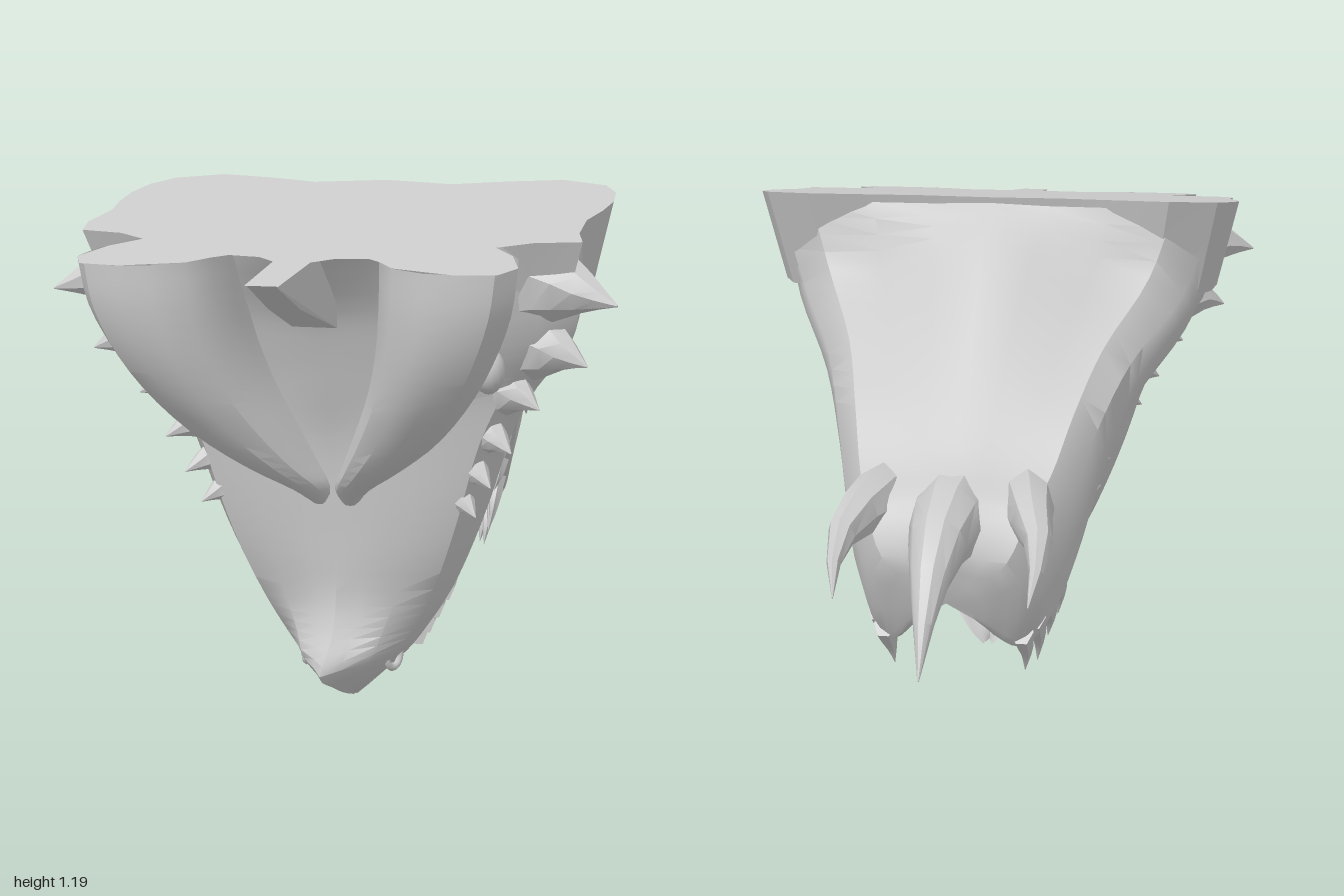
import * as THREE from 'three';
import { toCreasedNormals } from 'three/addons/utils/BufferGeometryUtils.js';
import { ConvexGeometry } from 'three/addons/geometries/ConvexGeometry.js';

const V = (x, y, z) => new THREE.Vector3(x, y, z);
const mat = new THREE.MeshStandardMaterial({ color: 0xcccccc, side: THREE.DoubleSide });
const capY = z => 1.181 - 0.131 * z; // sloping cut plane through the neck
const lean = z => (z < 0.5 ? -0.02 : 0); // the neck sits slightly off centre

export function createModel() {
  const group = new THREE.Group();
  const jaw = new THREE.Group(); // lower jaw, hanging slightly to one side
  jaw.name = 'lowerJawGroup';
  jaw.position.x = -0.025;
  group.add(jaw);
  const add = (name, geo, parent = group) => {
    const m = new THREE.Mesh(geo, mat);
    m.name = name;
    parent.add(m);
    return m;
  };

  // Skin through closed rings of equal point count, smoothed along its length
  function loft(rows, steps, capStart = true, capEnd = true) {
    const n = rows[0].length;
    const cols = rows[0].map((_, i) => new THREE.CatmullRomCurve3(rows.map(r => r[i]), false, 'centripetal'));
    const pts = [], idx = [];
    for (let s = 0; s <= steps; s++) for (const c of cols) pts.push(c.getPoint(s / steps));
    for (let s = 0; s < steps; s++) for (let i = 0; i < n; i++) {
      const a = s * n + i, b = s * n + (i + 1) % n;
      idx.push(a, b, a + n, b, b + n, a + n);
    }
    const cap = (s, flip) => {
      const mid = V(0, 0, 0);
      for (let i = 0; i < n; i++) mid.addScaledVector(pts[s * n + i], 1 / n);
      const c = pts.push(mid) - 1;
      for (let i = 0; i < n; i++) {
        const a = s * n + i, b = s * n + (i + 1) % n;
        flip ? idx.push(c, b, a) : idx.push(c, a, b);
      }
    };
    if (capStart) cap(0, true);
    if (capEnd) cap(steps, false);
    // turn the faces outward
    const mid = V(0, 0, 0);
    pts.forEach(p => mid.addScaledVector(p, 1 / pts.length));
    let vol = 0;
    for (let i = 0; i < idx.length; i += 3) {
      const [a, b, c] = [0, 1, 2].map(k => pts[idx[i + k]].clone().sub(mid));
      vol += a.dot(b.cross(c));
    }
    if (vol < 0) idx.reverse();
    const g = new THREE.BufferGeometry().setFromPoints(pts);
    g.setIndex(idx);
    return toCreasedNormals(g, 0.6);
  }

  // Full ring from its +x half, whose first and last points lie on x = 0
  const mirror = half => [...half, ...half.slice(1, -1).reverse().map(p => V(-p.x, p.y, p.z))];

  // Curved tapering spike
  function spike(name, path, r, flat = 1, sides = 7, parent = group) {
    const curve = new THREE.CatmullRomCurve3(path);
    const rows = [];
    for (let s = 0; s <= 5; s++) {
      const t = s / 5, p = curve.getPoint(t), d = curve.getTangent(t);
      const u = V(1, 0, 0).addScaledVector(d, -d.x);
      if (u.lengthSq() < 0.05) u.set(0, 1, 0).addScaledVector(d, -d.y);
      u.normalize();
      const v = d.clone().cross(u), k = r * Math.max(0.02, 1 - t ** 1.2);
      rows.push(Array.from({ length: sides }, (_, i) => {
        const a = i / sides * Math.PI * 2;
        return p.clone().addScaledVector(u, Math.cos(a) * k * flat).addScaledVector(v, Math.sin(a) * k);
      }));
    }
    add(name, loft(rows, 5), parent);
  }

  // Neck cut: scalloped flat surface
  const outline = [[0.035, 1], [0.04, 0.8], [0.08, 0.765], [0.15, 0.755], [0.18, 0.78], [0.22, 0.83], [0.35, 0.87],
    [0.44, 0.86], [0.47, 0.8], [0.44, 0.7], [0.39, 0.63], [0.46, 0.58], [0.56, 0.56], [0.56, 0.48], [0.555, 0.35],
    [0.575, 0.25], [0.585, 0.15], [0.575, 0.05], [0.54, -0.03], [0.43, -0.085], [0.3, -0.055], [0.17, -0.01], [0, -0.05]];
  const shape = new THREE.Shape([...outline, ...outline.slice(0, -1).reverse().map(([x, z]) => [-x, z])]
    .map(([x, z]) => new THREE.Vector2(x + lean(z), -z)));
  const capGeo = new THREE.ShapeGeometry(shape).rotateX(-Math.PI / 2);
  const cp = capGeo.attributes.position;
  for (let i = 0; i < cp.count; i++) cp.setY(i, capY(cp.getZ(i)));
  capGeo.computeVertexNormals();
  add('neckCut', capGeo);

  // Neck wall below the cut, drawn in toward the jaw hinge
  const neckHalf = [[0, 0.6], [0.39, 0.6], ...outline.slice(11)];
  add('neck', loft([0, 0.5, 1].map(t => mirror(neckHalf.map(([x, z]) => V(x, capY(z), z))).map(p =>
    V((p.x + lean(p.z)) * (1 - 0.08 * t), p.y * (1 - t) + 0.95 * t, p.z + (0.3 - p.z) * 0.2 * t))), 4, false, true));

  // Upper jaw: y, half width, ridge z, cheek z, rim z, palate z
  const upper = [
    [1.1, 0.53, 0.75, 0.54, 0.2, 0.4], [0.95, 0.535, 0.63, 0.52, 0.235, 0.4], [0.86, 0.51, 0.59, 0.5, 0.23, 0.39],
    [0.77, 0.44, 0.56, 0.48, 0.22, 0.38], [0.65, 0.375, 0.52, 0.475, 0.205, 0.37], [0.5, 0.325, 0.5, 0.46, 0.19, 0.36],
    [0.38, 0.28, 0.49, 0.44, 0.19, 0.34], [0.26, 0.225, 0.49, 0.41, 0.195, 0.31], [0.19, 0.18, 0.53, 0.4, 0.19, 0.28],
    [0.135, 0.14, 0.62, 0.39, 0.165, 0.25], [0.08, 0.09, 0.52, 0.37, 0.12, 0.2], [0.035, 0.045, 0.42, 0.33, 0.085, 0.12],
    [0.006, 0.012, 0.34, 0.3, 0.08, 0.1]];
  add('upperJaw', loft(upper.map(([y, w, f, c, r, p], j) => mirror([
    [0, f], [0.22, f * 0.75 + c * 0.25], [0.55, f * 0.35 + c * 0.65 + 0.02], [0.87, c], [1, c * 0.7 + r * 0.3],
    [0.98, c * 0.35 + r * 0.65], [0.92, r], [0.78, r + 0.01], [0.66, r * 0.5 + p * 0.5], [0.4, p], [0, p + 0.02],
  ].map(([x, z]) => V(x * w, j ? y : capY(z) - 0.006, z)))), 36));

  // Lower jaw: throat z, y; rim z, y; half width; drop of the shoulder beside the throat
  const lower = [
    [-0.055, 1.175, 0.3, 0.97, 0.545, 0.04], [-0.16, 1.08, 0.1, 0.84, 0.48, 0.28], [-0.31, 0.93, -0.12, 0.71, 0.37, 0.22],
    [-0.45, 0.79, -0.26, 0.57, 0.31, 0.1], [-0.57, 0.68, -0.38, 0.41, 0.265, 0.08], [-0.66, 0.63, -0.48, 0.31, 0.225, 0.08],
    [-0.71, 0.53, -0.57, 0.265, 0.17, 0.1], [-0.69, 0.44, -0.65, 0.35, 0.08, 0.1]];
  add('lowerJaw', loft(lower.map(([z0, y0, z1, y1, w, d]) => mirror([[0, 0], [0.25, 0.03], [0.52, d * 0.85], [0.8, d],
    [0.96, d + 0.2], [1, 0.65], [0.96, 0.95], [0.88, 1], [0.76, 0.95], [0.62, 0.6], [0, 0.48],
  ].map(([x, t]) => V(x * w, y0 + (y1 - y0) * t, z0 + (z1 - z0) * t)))), 28), jaw);

  // Tongue lying on the lower jaw
  const tongue = add('tongue', new THREE.SphereGeometry(1, 20, 14), jaw);
  tongue.scale.set(0.17, 0.15, 0.32);
  tongue.position.set(0, 0.59, -0.22);
  tongue.rotation.x = -0.86;

  // Central crest prong
  const prong = [];
  for (const s of [-1, 1]) prong.push(V(s * 0.03, capY(1), 1), V(s * 0.04, capY(0.6) - 0.004, 0.6), V(s * 0.05, 0.92, 0.64), V(s * 0.035, 0.985, 0.85));
  add('crestProng', new ConvexGeometry(prong));

  // Chin centre spike
  spike('chinSpike', [V(0, 0.56, -0.56), V(0, 0.57, -0.74), V(0, 0.5, -0.89), V(0, 0.35, -1)], 0.11, 0.85, 10, jaw);

  // Rim positions along each jaw, for seating the teeth
  const along = (rows, t) => {
    const f = t * (rows.length - 1), i = Math.min(rows.length - 2, Math.floor(f));
    return rows[i].map((v, k) => v + (rows[i + 1][k] - v) * (f - i));
  };

  for (const s of [1, -1]) {
    // Brow lobe: y, inner x, outer x, front z, back z
    const lobe = [[1.1, 0.17, 0.47, 0.87, 0.6], [0.98, 0.165, 0.455, 0.865, 0.57], [0.88, 0.15, 0.415, 0.84, 0.52],
      [0.78, 0.12, 0.355, 0.79, 0.48], [0.68, 0.075, 0.27, 0.715, 0.46], [0.6, 0.035, 0.17, 0.64, 0.44],
      [0.54, 0.005, 0.085, 0.56, 0.43], [0.5, 0.015, 0.05, 0.5, 0.43]];
    add('browLobe', loft(lobe.map(([y, a, b, f, k], j) => [
      [0, 0], [0, 0.35], [0.03, 0.66], [0.17, 0.86], [0.4, 0.98], [0.65, 1], [0.88, 0.93], [1, 0.74], [0.95, 0.45],
      [0.8, 0.15], [0.75, 0],
    ].map(([u, v]) => {
      const z = k + (f - k) * v;
      return V(s * (a + (b - a) * u), j ? y : capY(z), z);
    })), 20, false, true));

    // Eye and nostril
    const eye = add('eye', new THREE.SphereGeometry(1, 16, 12));
    eye.scale.set(0.035, 0.05, 0.042);
    eye.position.set(s * 0.36, 0.825, 0.545);
    const nostril = add('nostril', new THREE.TorusGeometry(0.024, 0.008, 6, 14));
    nostril.scale.y = 1.25;
    nostril.position.set(s * 0.106, 0.122, 0.375);
    nostril.rotation.y = s * 1.1;

    // Cheek frill spikes: root x, y, z; tip x, z; radius
    for (const [x, y, z, tx, tz, r] of [[0.44, 1, 0.46, 0.635, 0.555, 0.1], [0.43, 0.86, 0.43, 0.565, 0.5, 0.085],
      [0.35, 0.76, 0.42, 0.46, 0.49, 0.075], [0.31, 0.66, 0.41, 0.4, 0.49, 0.06], [0.28, 0.58, 0.41, 0.355, 0.49, 0.05],
      [0.25, 0.51, 0.41, 0.32, 0.48, 0.05]])
      spike('cheekSpike', [V(s * x, y + 0.01, z), V(s * (x + tx) / 2, y, (z + tz) / 2), V(s * tx, y - 0.025, tz)], r);

    // Chin side spike
    spike('chinSideSpike', [V(s * 0.15, 0.58, -0.5), V(s * 0.18, 0.6, -0.65), V(s * 0.215, 0.56, -0.77), V(s * 0.205, 0.47, -0.87)], 0.09, 0.75, 8, jaw);

    // Upper teeth, curving slightly upward
    for (let i = 0; i < 9; i++) {
      const [y, w, , , r] = along(upper, 0.31 + i * 0.055);
      const l = 0.095 + 0.03 * (i % 2), x = s * w * 0.85;
      spike('upperTooth', [V(x, y - 0.01, r + 0.03), V(x, y - 0.005, r - l * 0.45), V(x * 0.97, y + 0.02, r - l)], 0.036, 0.7, 6);
    }

    // Lower teeth
    for (let i = 0; i < 9; i++) {
      const [, , z, y, w] = along(lower, 0.28 + i * 0.068);
      const l = (i > 4 ? 0.12 : 0.085) + 0.02 * (i % 2), x = s * w * 0.85;
      spike('lowerTooth', [V(x, y + 0.03, z - 0.03), V(x, y - l * 0.35, z + l * 0.3), V(x * 0.97, y - l * 0.8, z + l * 0.45)], 0.036, 0.7, 6, jaw);
    }
  }
  return group;
}
